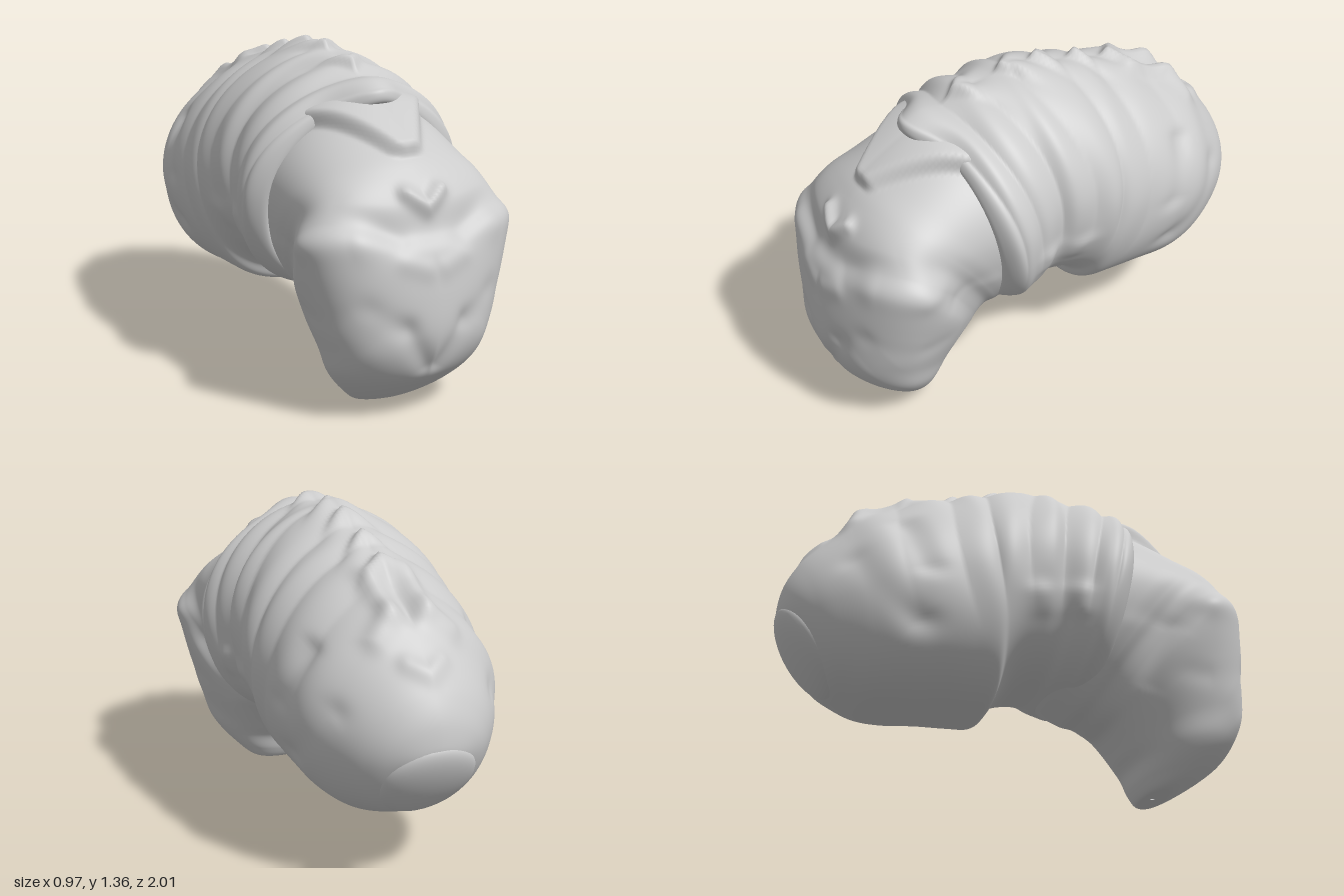
import * as THREE from 'three';

const material = new THREE.MeshStandardMaterial({ color: 0xcccccc, side: THREE.DoubleSide });
const V = (x, y, z) => new THREE.Vector3(x, y, z);
const step = THREE.MathUtils.smoothstep;
const bell = (d, r) => Math.exp(-((d / r) ** 2));

// Catmull-Rom blend of a table of sections at v in 0..1
function blend(rows, v) {
  const f = v * (rows.length - 1), i = Math.min(Math.floor(f), rows.length - 2), t = f - i;
  const at = k => rows[Math.max(0, Math.min(rows.length - 1, k))];
  return rows[0].map((_, c) => {
    const [a, b, d, e] = [at(i - 1)[c], at(i)[c], at(i + 1)[c], at(i + 2)[c]];
    return b + 0.5 * t * (d - a + t * (2 * a - 5 * b + 4 * d - e + t * (3 * (b - d) + e - a)));
  });
}

// Loft of rings, front to back. Section: topZ, topY, bottomZ, bottomY, halfWidth, side lift
function loft(name, rows, rings, sculpt) {
  const around = 160, pos = [], index = [];
  for (let i = 0; i <= rings; i++) {
    const [tz, ty, bz, by, w, lift] = blend(rows, i / rings);
    for (let j = 0; j < around; j++) {
      const a = j / around * Math.PI * 2, c = Math.cos(a), s = Math.sin(a);
      // Slightly peaked above, fuller below
      const wide = Math.sign(s) * Math.pow(Math.abs(s), c < 0 ? 0.8 : 1.15);
      const p = V(w * wide, (ty + by) / 2 + (ty - by) / 2 * c + lift * s * s,
        (tz + bz) / 2 + (tz - bz) / 2 * c + lift * 0.25 * s * s);
      const out = V(s, (ty - by) * c, (tz - bz) * c).normalize();
      sculpt(p, out, i / rings, c);
      pos.push(p.x, p.y, p.z);
      if (i < rings) {
        const k = i * around, n = (j + 1) % around;
        index.push(k + j, k + n, k + j + around, k + n, k + n + around, k + j + around);
      }
    }
  }
  const g = new THREE.BufferGeometry();
  g.setAttribute('position', new THREE.Float32BufferAttribute(pos, 3));
  g.setIndex(index);
  g.computeVertexNormals();
  const mesh = new THREE.Mesh(g, material);
  mesh.name = name;
  return mesh;
}

// Sculpted strokes: soft ridges (or grooves) along mirrored line segments
function strokes(list) {
  const lines = list.map(([a, b, r, h]) => ({ l: new THREE.Line3(V(...a), V(...b)), r, h }));
  const q = V(), near = V();
  return p => lines.reduce((sum, { l, r, h }) => {
    q.set(Math.abs(p.x), p.y, p.z);
    l.closestPointToPoint(q, true, near).sub(q);
    near.z *= 0.6;
    return sum + h * bell(near.length(), r);
  }, 0);
}

export function createModel() {
  const model = new THREE.Group();

  // Head: blunt snout, flared cheek crests, neck running under the hood
  const headMarks = strokes([
    [[0.28, 0.75, 0.84], [0.43, 0.74, 0.72], 0.06, 0.025],   // cheek crest
    [[0, 0.85, 0.92], [0.07, 0.91, 0.88], 0.03, 0.035],      // brow knob
    [[0.04, 0.64, 0.98], [0.12, 0.67, 0.95], 0.04, 0.01],
    [[0.03, 0.25, 0.97], [0.13, 0.42, 0.93], 0.045, -0.02],  // crease over eye patch
    [[0.13, 0.42, 0.93], [0.25, 0.51, 0.85], 0.045, -0.02],
    [[0.25, 0.51, 0.85], [0.34, 0.45, 0.7], 0.045, -0.02],
    [[0.22, 0.32, 0.88], [0.27, 0.38, 0.8], 0.09, 0.02],     // eye patch
    [[0.14, 0.75, 0.93], [0.3, 0.85, 0.75], 0.05, -0.012],
    [[0.4, 0.62, 0.55], [0.34, 0.4, 0.45], 0.05, -0.015],    // neck creases
    [[0.4, 0.6, 0.42], [0.3, 0.38, 0.36], 0.05, 0.015],
  ]);
  model.add(loft('head', [
    [0.63, 0.01, 0.61, 0.01, 0.005, 0],
    [0.69, 0.015, 0.57, 0.01, 0.14, 0],
    [0.85, 0.12, 0.54, 0.06, 0.235, 0],
    [0.95, 0.22, 0.52, 0.13, 0.315, 0.02],
    [1.0, 0.36, 0.48, 0.18, 0.35, 0.05],
    [1.0, 0.52, 0.44, 0.23, 0.41, 0.13],
    [0.97, 0.69, 0.4, 0.27, 0.45, 0.2],
    [0.92, 0.77, 0.35, 0.29, 0.42, 0.23],
    [0.89, 0.87, 0.3, 0.31, 0.40, 0.21],
    [0.82, 0.97, 0.25, 0.32, 0.40, 0.16],
    [0.72, 1.05, 0.19, 0.35, 0.405, 0.1],
    [0.5, 1.16, 0.12, 0.39, 0.405, 0.04],
    [0.3, 1.18, 0.06, 0.43, 0.38, 0],
  ], 170, (p, out, v, c) => {
    // Neck plate: raised scale with a blunt tip, widening toward the hood
    const x = Math.abs(p.x), back = 0.77 - p.z;
    const plate = c > 0 && v > 0.6
      ? step(0.07 + back * 0.55 - x, 0, 0.07) * step(back, 0, 0.04) : 0;
    p.addScaledVector(out, headMarks(p) + plate * (0.045 + 0.1 * Math.min(x, 0.2)));
  }));

  // Body: hooded front rim, overlapping folds, tapered tail
  const bodyMarks = strokes([
    [[0.08, 1.17, -0.48], [0.07, 1.09, -0.7], 0.04, 0.025],   // rear saddle ring
    [[0.07, 1.09, -0.7], [0.16, 1.02, -0.77], 0.045, 0.03],
    [[0, 1.12, -0.58], [0, 1.08, -0.68], 0.04, -0.02],
    [[0, 0.9, -0.9], [0.07, 0.94, -0.87], 0.035, 0.02],
    [[0.42, 0.72, -0.47], [0.36, 0.95, -0.56], 0.04, -0.022], // flank creases
    [[0.4, 0.5, -0.5], [0.32, 0.75, -0.72], 0.05, -0.018],
    [[0.43, 0.62, 0.02], [0.43, 0.68, 0.0], 0.04, 0.015],
    [[0.44, 0.64, 0.14], [0.44, 0.7, 0.15], 0.04, 0.018],
  ]);
  const knobs = [0.32, 0.1, -0.06, -0.25, -0.42];
  model.add(loft('body', [
    [0.40, 1.12, 0.26, 0.43, 0.38, 0],
    [0.46, 1.16, 0.31, 0.41, 0.405, 0],
    [0.455, 1.21, 0.29, 0.385, 0.45, 0],
    [0.41, 1.245, 0.23, 0.37, 0.49, 0],
    [0.35, 1.27, 0.18, 0.375, 0.475, 0],
    [0.27, 1.3, 0.13, 0.385, 0.46, 0],
    [0.15, 1.31, 0.08, 0.4, 0.435, 0],
    [0.06, 1.33, 0.02, 0.4, 0.45, 0],
    [-0.1, 1.3, -0.05, 0.38, 0.455, 0],
    [-0.22, 1.27, -0.1, 0.34, 0.458, 0],
    [-0.32, 1.24, -0.13, 0.28, 0.455, 0],
    [-0.45, 1.2, -0.22, 0.27, 0.452, 0],
    [-0.6, 1.13, -0.36, 0.265, 0.445, 0],
    [-0.72, 1.07, -0.5, 0.25, 0.425, 0],
    [-0.81, 0.98, -0.62, 0.25, 0.375, 0],
    [-0.9, 0.89, -0.72, 0.28, 0.315, 0],
    [-0.95, 0.82, -0.8, 0.32, 0.26, 0],
    [-0.985, 0.74, -0.87, 0.39, 0.195, 0],
    [-1.0, 0.65, -0.95, 0.51, 0.1, 0],
    [-0.995, 0.59, -0.98, 0.57, 0.003, 0],
  ], 220, (p, out, v, c) => {
    // Rounded folds fading toward belly and tail
    const fade = step(c, -0.6, 0.1) * (1 - step(v, 0.5, 0.75)) * step(v, 0.08, 0.16);
    let h = 0.018 * (Math.abs(Math.sin(v * 38 + 2 * c * c)) - 0.6) * fade + bodyMarks(p);
    // Forward-pointing chevron knobs on the spine
    if (c > 0) for (const z of knobs) {
      const d = p.z - (z - Math.abs(p.x) * 0.9);
      h += 0.04 * bell(p.x, 0.09) * bell(d, d > 0 ? 0.025 : 0.08);
    }
    // Hood drawn forward into a raised point above the neck plate
    const point = c > 0 ? bell(p.x, 0.13) * (1 - step(v, 0.09, 0.24)) : 0;
    p.addScaledVector(out, h + 0.035 * point);
    p.z += 0.1 * point;
  }));

  // Smooth oval pad under the tail
  const pad = new THREE.Mesh(new THREE.SphereGeometry(1, 40, 24), material);
  pad.name = 'tailPad';
  pad.scale.set(0.2, 0.21, 0.07);
  pad.position.set(0, 0.475, -0.87);
  pad.rotation.x = -0.62;
  model.add(pad);
  return model;
}
